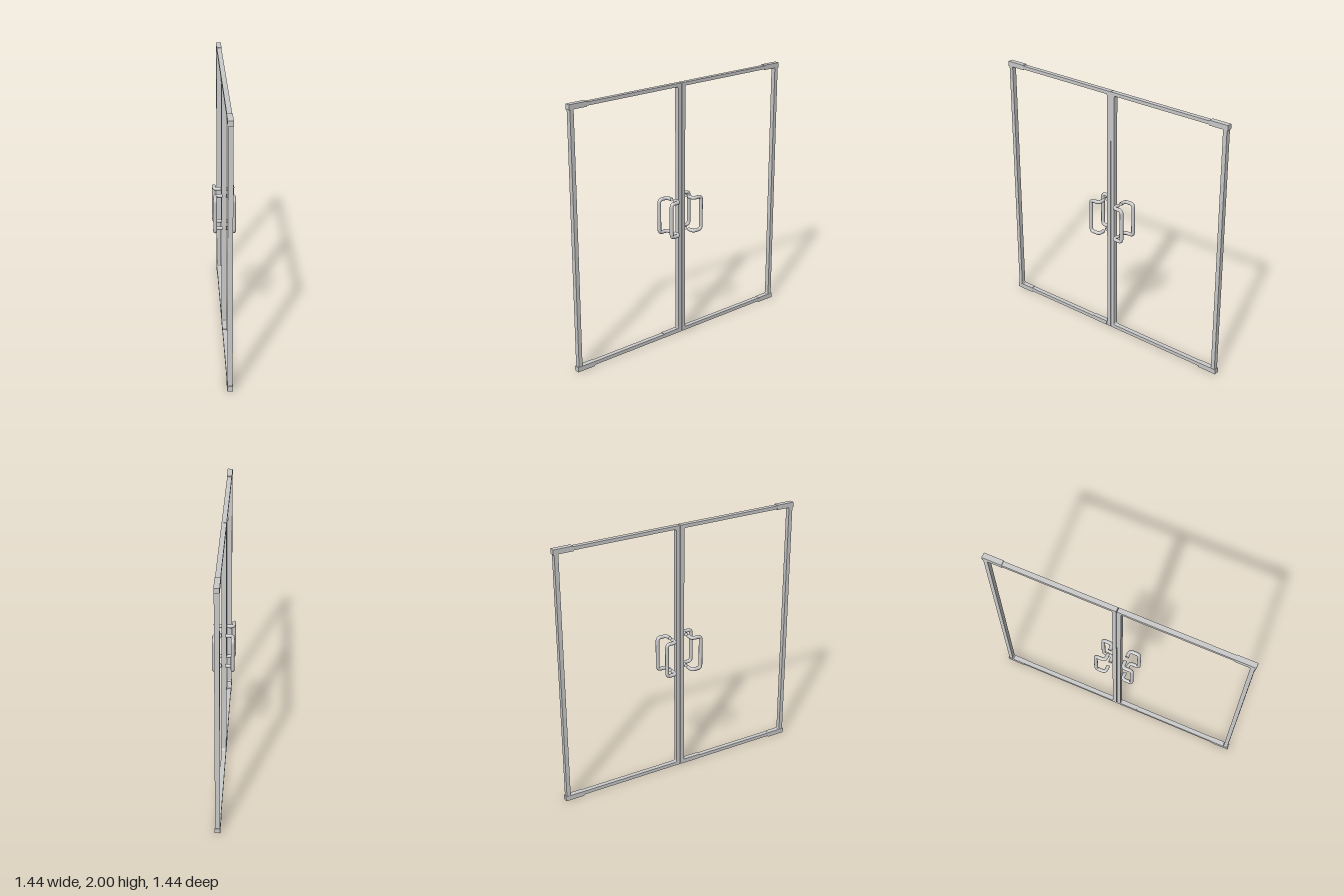
import * as THREE from 'three';

const material = new THREE.MeshStandardMaterial({ color: 0xcccccc, side: THREE.DoubleSide });

function addMesh(parent, name, geometry, x = 0, y = 0, z = 0) {
  const mesh = new THREE.Mesh(geometry, material);
  mesh.name = name;
  mesh.position.set(x, y, z);
  parent.add(mesh);
  return mesh;
}

// Rectangle outline with rounded corners
function roundedRect(path, x0, y0, x1, y1, r) {
  path.moveTo(x0 + r, y0);
  path.lineTo(x1 - r, y0);
  path.quadraticCurveTo(x1, y0, x1, y0 + r);
  path.lineTo(x1, y1 - r);
  path.quadraticCurveTo(x1, y1, x1 - r, y1);
  path.lineTo(x0 + r, y1);
  path.quadraticCurveTo(x0, y1, x0, y1 - r);
  path.lineTo(x0, y0 + r);
  path.quadraticCurveTo(x0, y0, x0 + r, y0);
  return path;
}

// Straight runs joined by rounded bends
function bentPath(points, r) {
  const path = new THREE.CurvePath();
  let from = points[0];
  for (let i = 1; i < points.length - 1; i++) {
    const p = points[i];
    const toward = (q) => p.clone().add(q.clone().sub(p).setLength(r));
    const a = toward(points[i - 1]);
    const b = toward(points[i + 1]);
    path.add(new THREE.LineCurve3(from, a));
    path.add(new THREE.QuadraticBezierCurve3(a, p, b));
    from = b;
  }
  path.add(new THREE.LineCurve3(from, points[points.length - 1]));
  return path;
}

// Pull handle: out from the stile, sideways, then a vertical grip
function handleGeometry(side, face) {
  const points = [
    [0.07, 0.845, 0.015], [0.07, 0.845, 0.07], [0.147, 0.845, 0.07],
    [0.147, 1.108, 0.07], [0.07, 1.108, 0.07], [0.07, 1.108, 0.015],
  ].map(([x, y, z]) => new THREE.Vector3(x * side, y, z * face));
  return new THREE.TubeGeometry(bentPath(points, 0.027), 120, 0.014, 12);
}

function createLeaf(side) {
  const leaf = new THREE.Group();
  leaf.name = side > 0 ? 'leftDoor' : 'rightDoor';

  // Frame: two stiles and two rails around an open panel
  const shape = new THREE.Shape();
  const x0 = 0.002, x1 = 0.992, y0 = 0.008, y1 = 1.994;
  shape.moveTo(x0, y0);
  shape.lineTo(x1, y0);
  shape.lineTo(x1, y1);
  shape.lineTo(x0, y1);
  shape.closePath();
  shape.holes.push(roundedRect(new THREE.Path(), x0 + 0.031, 0.036, x1 - 0.031, 1.968, 0.015));
  const frame = new THREE.ExtrudeGeometry(shape, { depth: 0.036, bevelEnabled: false, curveSegments: 5 });
  frame.translate(0, 0, -0.018);
  if (side < 0) frame.rotateY(Math.PI);
  addMesh(leaf, 'frame', frame);

  // Pivot fittings on the outer corners
  for (const y of [0.019, 1.981]) {
    const name = y < 1 ? 'bottomPivot' : 'topPivot';
    addMesh(leaf, name, new THREE.BoxGeometry(0.15, 0.038, 0.04), side * 0.925, y, 0);
  }

  // Handles on both faces
  for (const face of [1, -1]) {
    addMesh(leaf, face > 0 ? 'frontHandle' : 'backHandle', handleGeometry(side, face));
  }
  return leaf;
}

export function createModel() {
  const model = new THREE.Group();
  model.name = 'doubleDoor';
  const left = createLeaf(1);
  const right = createLeaf(-1);

  // Floor lock on one leaf
  addMesh(right, 'floorLock', new THREE.BoxGeometry(0.14, 0.034, 0.037), -0.11, 0.024, 0);

  // The doors stand diagonally
  const doors = new THREE.Group();
  doors.name = 'doors';
  doors.add(left, right);
  doors.rotation.y = Math.PI / 4;
  model.add(doors);
  return model;
}
